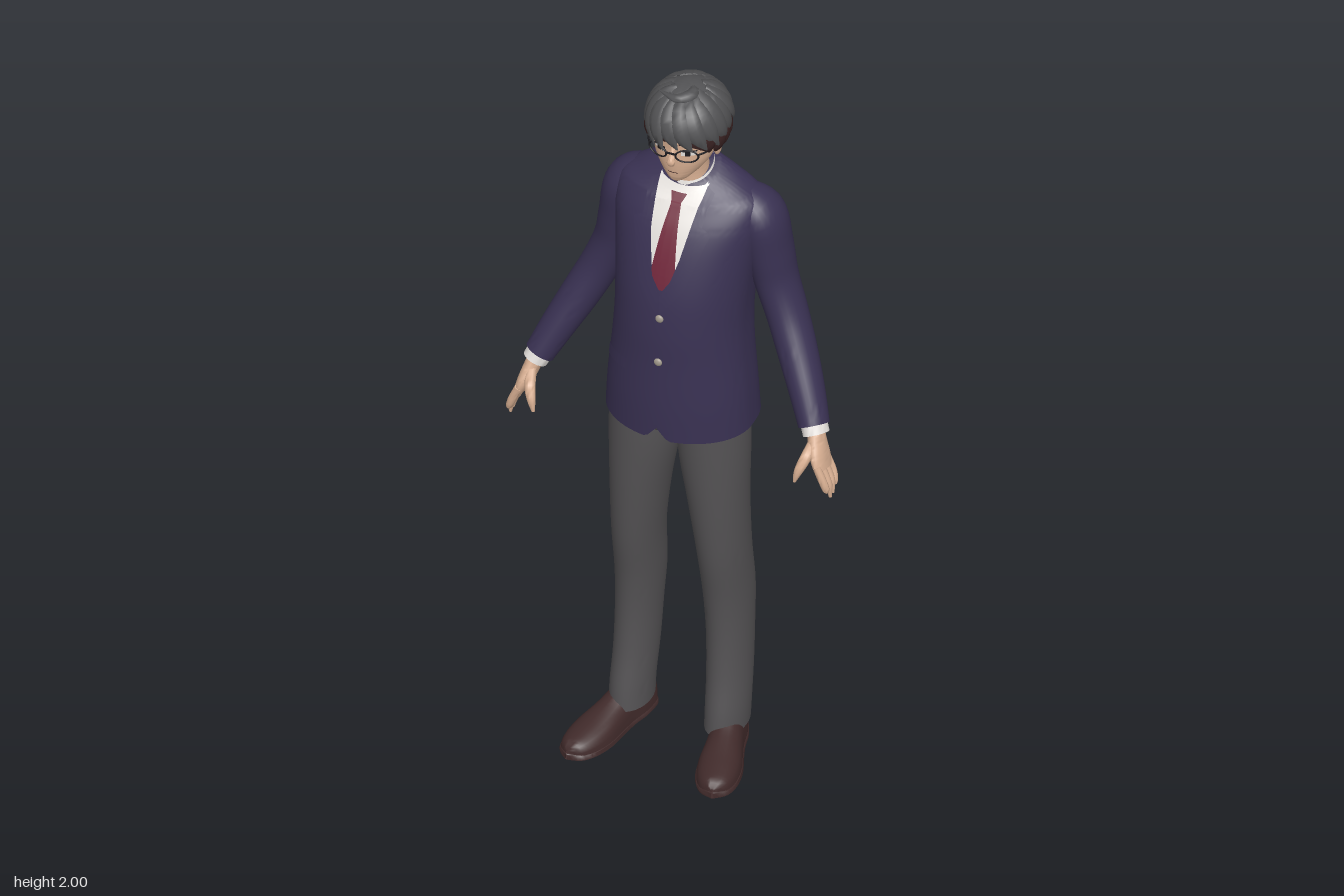
import * as THREE from 'three';
import { mergeVertices, toCreasedNormals } from 'three/addons/utils/BufferGeometryUtils.js';

const V = (x, y, z) => new THREE.Vector3(x, y, z);
const mat = (name, color) => new THREE.MeshStandardMaterial({ name, color, side: THREE.DoubleSide });
const lerp = THREE.MathUtils.lerp;
const spow = (c, p) => Math.sign(c) * Math.abs(c) ** p;

// Surface from a rule f(u, v) -> Vector3, u and v in 0..1
function grid(nu, nv, f) {
  const pos = [], idx = [];
  for (let j = 0; j <= nv; j++) for (let i = 0; i <= nu; i++) pos.push(...f(i / nu, j / nv).toArray());
  for (let j = 0; j < nv; j++) for (let i = 0; i < nu; i++) {
    const a = j * (nu + 1) + i, b = a + 1, c = a + nu + 1, d = c + 1;
    idx.push(a, b, d, a, d, c);
  }
  const g = new THREE.BufferGeometry();
  g.setAttribute('position', new THREE.Float32BufferAttribute(pos, 3));
  g.setIndex(idx);
  return toCreasedNormals(mergeVertices(g, 1e-5), 0.9);
}

// Smooth (Catmull-Rom) sample of a table of number rows
function sample(rows, t) {
  const k = Math.min(Math.floor(t * (rows.length - 1)), rows.length - 2), f = t * (rows.length - 1) - k;
  const at = i => rows[Math.max(0, Math.min(rows.length - 1, i))];
  return rows[0].map((_, c) => {
    const [p, q, r, s] = [at(k - 1)[c], at(k)[c], at(k + 1)[c], at(k + 2)[c]];
    return q + 0.5 * f * (r - p + f * (2 * p - 5 * q + 4 * r - s + f * (3 * (q - r) + s - p)));
  });
}

// Upright body from rows [y, halfWidth, zFront, zBack, xCentre]
function body(rows, { n = 32, m = 40, back = 1, capLow = true, rule = p => p } = {}) {
  const dense = Array.from({ length: m + 1 }, (_, i) => sample(rows, i / m));
  const shut = r => [r[0], 0, (r[2] + r[3]) / 2, (r[2] + r[3]) / 2, r[4]];
  const rings = [...(capLow ? [shut(dense[0])] : []), ...dense, shut(dense[m])];
  const geo = grid(n, rings.length - 1, (u, v) => {
    const [y, rx, zf, zb, cx = 0] = rings[Math.round(v * (rings.length - 1))];
    const a = u * Math.PI * 2, c = Math.cos(a), p = c < 0 ? back : 1;
    return rule(V(cx + rx * spow(Math.sin(a), p), y, (zf + zb) / 2 + (zf - zb) / 2 * spow(c, p)));
  });
  const frontZ = (x, y) => {
    let k = 0;
    while (k < m - 1 && dense[k + 1][0] < y) k++;
    const t = THREE.MathUtils.clamp((y - dense[k][0]) / (dense[k + 1][0] - dense[k][0]), 0, 1);
    const [, rx, zf, zb] = dense[k].map((q, i) => lerp(q, dense[k + 1][i], t));
    return (zf + zb) / 2 + (zf - zb) / 2 * Math.sqrt(Math.max(0, 1 - (x / rx) ** 2));
  };
  return { geo, frontZ };
}

// Thin plate lying on a body's front, between two polylines of [x, y]
function patch(frontZ, A, B, off, s = 1, rule = p => p) {
  const line = (L, t) => {
    const k = Math.min(Math.floor(t * (L.length - 1)), L.length - 2), f = t * (L.length - 1) - k;
    return [lerp(L[k][0], L[k + 1][0], f), lerp(L[k][1], L[k + 1][1], f)];
  };
  return grid(12, 30, (u, v) => {
    const [ax, ay] = line(A, v), [bx, by] = line(B, v), x = s * lerp(ax, bx, u), y = lerp(ay, by, u);
    return rule(V(x * (1 + off * 2), y, frontZ(x, y) + off));
  });
}

// Limb along rows [x, y, z, radiusAcross, radiusAlongHint], closed at both ends
function sweep(rows, hint = () => V(0, 0, 1), n = 16, m = 20) {
  return grid(n, m + 2, (u, v) => {
    const j = Math.round(v * (m + 2)), t = THREE.MathUtils.clamp((j - 1) / m, 0, 1);
    const [x, y, z, ra, rb] = sample(rows, t), k = j === 0 || j === m + 2 ? 0 : 1, p = V(x, y, z);
    const T = V(...sample(rows, Math.min(1, t + 0.02))).sub(V(...sample(rows, Math.max(0, t - 0.02)))).normalize();
    const h = hint(p), W = h.addScaledVector(T, -h.dot(T)).normalize(), U = W.clone().cross(T);
    const a = u * Math.PI * 2;
    return p.addScaledVector(U, Math.cos(a) * ra * k).addScaledVector(W, Math.sin(a) * rb * k);
  });
}

export function createModel() {
  const model = new THREE.Group();
  const navy = mat('jacket navy', 0x393152), grey = mat('trouser grey', 0x545254), leather = mat('shoe brown', 0x402a2a);
  const skin = mat('skin', 0xd8af92), hairTop = mat('hair grey', 0x525254), hairLow = mat('hair brown', 0x3a2323);
  const white = mat('shirt white', 0xe4e0dc), red = mat('tie red', 0x70263a), dark = mat('dark', 0x1d1b1f);
  const metal = mat('button metal', 0xa0988c);
  const add = (name, geo, m, parent = model) => {
    const mesh = new THREE.Mesh(geo, m);
    mesh.name = name;
    parent.add(mesh);
    return mesh;
  };
  const ball = (name, m, p, sx, sy, sz) => {
    const b = add(name, new THREE.SphereGeometry(1, 16, 12), m);
    b.position.set(...p);
    b.scale.set(sx, sy, sz);
  };

  // Jacket: neckline tilted forward, a notch at the front hem and a vent at the back
  const tilt = p => {
    p.y += Math.max(0, p.y - 1.66) * (-0.105 - p.z) * 7;
    return p;
  };
  const torso = body([[1.0, 0.195, 0.113, -0.19], [1.1, 0.189, 0.113, -0.187], [1.22, 0.178, 0.108, -0.188],
    [1.32, 0.173, 0.104, -0.198], [1.42, 0.178, 0.09, -0.213], [1.52, 0.188, 0.06, -0.222],
    [1.6, 0.197, 0.024, -0.215], [1.655, 0.188, -0.014, -0.197], [1.69, 0.135, -0.034, -0.177], [1.72, 0.07, -0.05, -0.16]],
  { n: 96, m: 60, back: 0.68, capLow: false, rule: p => {
    const hem = p.z > 0 ? 0.035 * (1 - Math.abs(p.x) / 0.03) : 0.04 * (1 - Math.abs(p.x) / 0.014);
    p.y = Math.max(p.y, 1 + hem);
    return tilt(p);
  } });
  add('jacket', torso.geo, navy);
  const plate = (name, m, A, B, off, s) => add(name, patch(torso.frontZ, A, B, off, s, tilt), m);

  // Shirt front, tie and collar band
  const half = [[0.004, 1.45], [0.032, 1.5], [0.052, 1.59], [0.066, 1.715]];
  plate('shirtFront', white, half.map(([x, y]) => [-x, y]), half, 0.003);
  const blade = [[0.005, 1.45], [0.033, 1.49], [0.023, 1.58], [0.012, 1.665]];
  plate('tie', red, blade.map(([x, y]) => [-x, y]), blade, 0.006);
  plate('tieKnot', red, [[-0.012, 1.66], [-0.021, 1.70]], [[0.012, 1.66], [0.021, 1.70]], 0.011);
  add('collar', grid(40, 4, (u, v) => {
    const a = u * Math.PI * 2, r = lerp(0.066, 0.056, v);
    return tilt(V(r * Math.sin(a), lerp(1.69, 1.728, v), -0.106 + r * Math.cos(a)));
  }), white);

  for (const s of [1, -1]) {
    plate('collarFlap', white, [[0.04, 1.635], [0.006, 1.7]], [[0.05, 1.645], [0.062, 1.72]], 0.009, s);
    plate('lapel', navy, [[0, 1.435], [0.024, 1.48], [0.04, 1.54], [0.05, 1.6], [0.057, 1.65], [0.064, 1.715]],
      [[0.004, 1.385], [0.06, 1.46], [0.086, 1.55], [0.104, 1.605], [0.08, 1.618], [0.086, 1.7]], 0.01, s);
    plate('pocketFlap', navy, [[0.085, 1.183], [0.085, 1.215]], [[0.162, 1.175], [0.16, 1.205]], 0.007, s);

    // Sleeve, cuff and sleeve buttons
    add('sleeve', sweep([[0.135, 1.655, -0.122, 0.035, 0.05], [0.178, 1.6, -0.128, 0.062, 0.076], [0.2, 1.5, -0.134, 0.06, 0.074],
      [0.22, 1.41, -0.134, 0.055, 0.066], [0.256, 1.32, -0.12, 0.052, 0.06], [0.297, 1.235, -0.09, 0.05, 0.055],
      [0.34, 1.15, -0.052, 0.045, 0.05], [0.377, 1.073, -0.015, 0.039, 0.043]].map(r => [s * r[0], ...r.slice(1)]), undefined, 28, 32), navy);
    add('cuff', sweep([[s * 0.37, 1.09, -0.022, 0.033, 0.038], [s * 0.386, 1.054, -0.008, 0.033, 0.038]], undefined, 24, 2), white);
    for (let i = 0; i < 3; i++)
      ball('sleeveButton', dark, [s * (0.378 - i * 0.009), 1.098 + i * 0.02, -0.062 - i * 0.009], 0.007, 0.007, 0.006);

    // Hand with four fingers and a thumb
    add('palm', sweep([[0.383, 1.065, -0.012, 0.021, 0.027], [0.392, 1.035, -0.002, 0.021, 0.033], [0.404, 1.0, 0.008, 0.019, 0.042],
      [0.416, 0.97, 0.014, 0.014, 0.041]].map(r => [s * r[0], ...r.slice(1)])), skin);
    [0.03, 0.0, 0.005, 0.025].forEach((short, i) => {
      const z = 0.044 - i * 0.02, tip = 0.894 + short * 0.8, zt = z * 0.75 + 0.008;
      add('finger', sweep([[s * 0.41, 0.99, z, 0.01, 0.011], [s * 0.427, 0.95, z, 0.0105, 0.0105],
        [s * 0.436, 0.925, (z + zt) / 2, 0.009, 0.009], [s * 0.44, tip, zt, 0.004, 0.004]], undefined, 10, 10), skin);
    });
    add('thumb', sweep([[s * 0.388, 1.04, 0.012, 0.014, 0.014], [s * 0.378, 1.005, 0.045, 0.014, 0.014],
      [s * 0.367, 0.975, 0.061, 0.011, 0.011], [s * 0.359, 0.945, 0.067, 0.004, 0.004]], () => V(1, 0, 0), 10, 12), skin);

    // Trouser leg
    add('trouserLeg', body([[0.062, 0.053, 0.05, -0.115, 0.131], [0.12, 0.054, 0.043, -0.12, 0.131], [0.22, 0.055, 0.026, -0.137, 0.128],
      [0.34, 0.057, 0.019, -0.148, 0.125], [0.46, 0.061, 0.026, -0.155, 0.121], [0.6, 0.065, 0.048, -0.135, 0.117],
      [0.76, 0.076, 0.062, -0.128, 0.107], [0.92, 0.091, 0.068, -0.135, 0.095], [1.06, 0.092, 0.068, -0.145, 0.092]]
      .map(r => [...r.slice(0, 4), s * r[4]])).geo, grey);

    // Shoe: rows [z, halfWidth, height], flat underneath
    const shoe = new THREE.Group();
    shoe.name = 'shoe';
    shoe.position.x = s * 0.145;
    shoe.rotation.y = s * 0.25;
    model.add(shoe);
    const last = [[-0.116, 0.004, 0.05], [-0.105, 0.032, 0.085], [-0.05, 0.044, 0.1], [0, 0.044, 0.095], [0.05, 0.049, 0.075],
      [0.11, 0.056, 0.058], [0.165, 0.051, 0.046], [0.204, 0.034, 0.036], [0.223, 0.003, 0.018]];
    const shell = (grow, tall) => grid(24, 32, (u, v) => {
      const [z, w, h] = sample(last, v), a = u * Math.PI * 2;
      return V(Math.cos(a) * w * grow, 0.012 + (Math.sin(a) > 0 ? tall(h) * Math.sin(a) ** 0.7 : -0.006), z * (grow > 1 ? 1.015 : 1));
    });
    add('shoeUpper', shell(1, h => h), leather, shoe);
    add('shoeSole', shell(1.05, () => 0.012), leather, shoe);
    add('shoeHeel', new THREE.CylinderGeometry(0.04, 0.038, 0.02, 20), leather, shoe).position.set(0, 0.01, -0.066);
  }
  add('hips', body([[0.955, 0.03, 0.0, -0.1], [0.985, 0.14, 0.06, -0.135], [1.03, 0.183, 0.07, -0.15], [1.12, 0.17, 0.07, -0.15]]).geo, grey);
  for (const y of [1.37, 1.24])
    ball('jacketButton', metal, [0.003, y, torso.frontZ(0, y) + 0.002], 0.011, 0.011, 0.006);

  // Neck and head
  add('neck', body([[1.66, 0.05, -0.05, -0.15], [1.72, 0.047, -0.052, -0.148], [1.76, 0.047, -0.045, -0.143], [1.82, 0.05, -0.03, -0.145]]).geo, skin);
  const head = body([[1.732, 0.014, -0.004, -0.04], [1.743, 0.031, 0.005, -0.075], [1.77, 0.057, 0.009, -0.115], [1.8, 0.075, 0.011, -0.14],
    [1.84, 0.085, 0.011, -0.16], [1.88, 0.088, 0.013, -0.17], [1.93, 0.078, 0.0, -0.16], [1.965, 0.045, -0.035, -0.12]]);
  add('head', head.geo, skin);
  add('nose', sweep([[0, 1.846, 0.006, 0.006, 0.006], [0, 1.822, 0.016, 0.008, 0.009], [0, 1.806, 0.023, 0.011, 0.009],
    [0, 1.795, 0.013, 0.005, 0.005]], undefined, 12, 12), skin);
  const facial = (name, m, x0, x1, y0, y1, off) =>
    add(name, patch(head.frontZ, [[x0, y0], [x0, y1]], [[x1, y0], [x1, y1]], off), m);
  facial('mouth', hairLow, -0.014, 0.014, 1.768, 1.77, 0.003);
  for (const s of [1, -1]) {
    const span = (a, b) => s > 0 ? [a, b] : [-b, -a];
    facial('eyeWhite', white, ...span(0.022, 0.056), 1.827, 1.84, 0.003);
    facial('iris', dark, ...span(0.033, 0.045), 1.827, 1.84, 0.005);
    facial('eyelid', dark, ...span(0.02, 0.059), 1.84, 1.844, 0.005);
    facial('eyebrow', hairLow, ...span(0.018, 0.06), 1.86, 1.866, 0.004);
    ball('ear', skin, [s * 0.087, 1.823, -0.072], 0.009, 0.026, 0.018);
    // Glasses
    const rim = add('glassesRim', new THREE.TorusGeometry(0.029, 0.0026, 8, 32), dark);
    rim.position.set(s * 0.04, 1.832, 0.014);
    rim.rotation.y = s * 0.35;
    rim.scale.y = 0.62;
    add('glassesTemple', sweep([[s * 0.067, 1.838, 0.004, 0.0025, 0.0025], [s * 0.083, 1.838, -0.025, 0.0025, 0.0025],
      [s * 0.09, 1.836, -0.075, 0.0025, 0.0025]], () => V(0, 1, 0), 8, 8), dark);
  }
  add('glassesBridge', new THREE.BoxGeometry(0.026, 0.004, 0.004), dark).position.set(0, 1.836, 0.024);

  // Hair caps on an ellipsoid; angle a runs from the front towards the left side
  const C = V(0.003, 1.882, -0.08), R = V(0.1, 0.11, 0.112);
  const onHead = (a, th, k = 1) => V(Math.sin(th) * Math.sin(a), Math.cos(th), Math.sin(th) * Math.cos(a)).multiply(R).multiplyScalar(k).add(C);
  const cap = (front, back, k) => grid(48, 20, (u, v) => {
    const a = u * Math.PI * 2, end = lerp(back, front, Math.max(0, Math.cos(a)) ** 1.5);
    return onHead(a, (1 - v) * end, k);
  });
  add('hairCap', cap(1.5, 1.72, 1), hairTop);
  add('underHair', cap(1.6, 2.4, 0.97), hairLow);

  // Tapered locks laid over the caps
  const lock = (name, m, a0, t0, a1, t1, lift, w) => {
    const rows = [0, 0.25, 0.5, 0.75, 1].map((t, i) => {
      const p = onHead(lerp(a0, a1, t * t), lerp(t0, t1, t), 1 + lift * t * t), k = [0.35, 0.85, 1, 0.72, 0.06][i];
      return [p.x, p.y, p.z, w * k, 0.01 * k];
    });
    add(name, sweep(rows, p => p.clone().sub(C).normalize(), 10, 12), m);
  };
  let seed = 7;
  const rnd = () => (seed = (seed * 16807) % 2147483647) / 2147483647;
  for (let i = 0; i < 18; i++) {
    const a = i / 18 * Math.PI * 2, f = Math.cos(a);
    const end = f > 0.5 ? 1.75 + rnd() * 0.18 : f > -0.3 ? 1.85 + rnd() * 0.15 : 1.75 + rnd() * 0.17;
    lock(f > 0.5 ? 'fringeLock' : 'hairLock', hairTop, a - 0.25, 0.3 + rnd() * 0.3, a + 0.2, end, 0.05 + rnd() * 0.08, 0.027);
  }
  for (let i = 0; i < 13; i++) {
    const a = Math.PI * (0.42 + i / 10.3);
    lock('napeLock', hairLow, a, 1.4, a + 0.12, 2.15 + rnd() * 0.25, 0.05 + rnd() * 0.09, 0.024);
  }
  for (const s of [1, -1]) lock('sideLock', hairLow, s * 0.95, 1.3, s * 1.05, 2.05, 0.04, 0.022);
  lock('crownLock', hairTop, 1.0, 0.2, -1.0, 0.7, 0.14, 0.016);
  return model;
}
